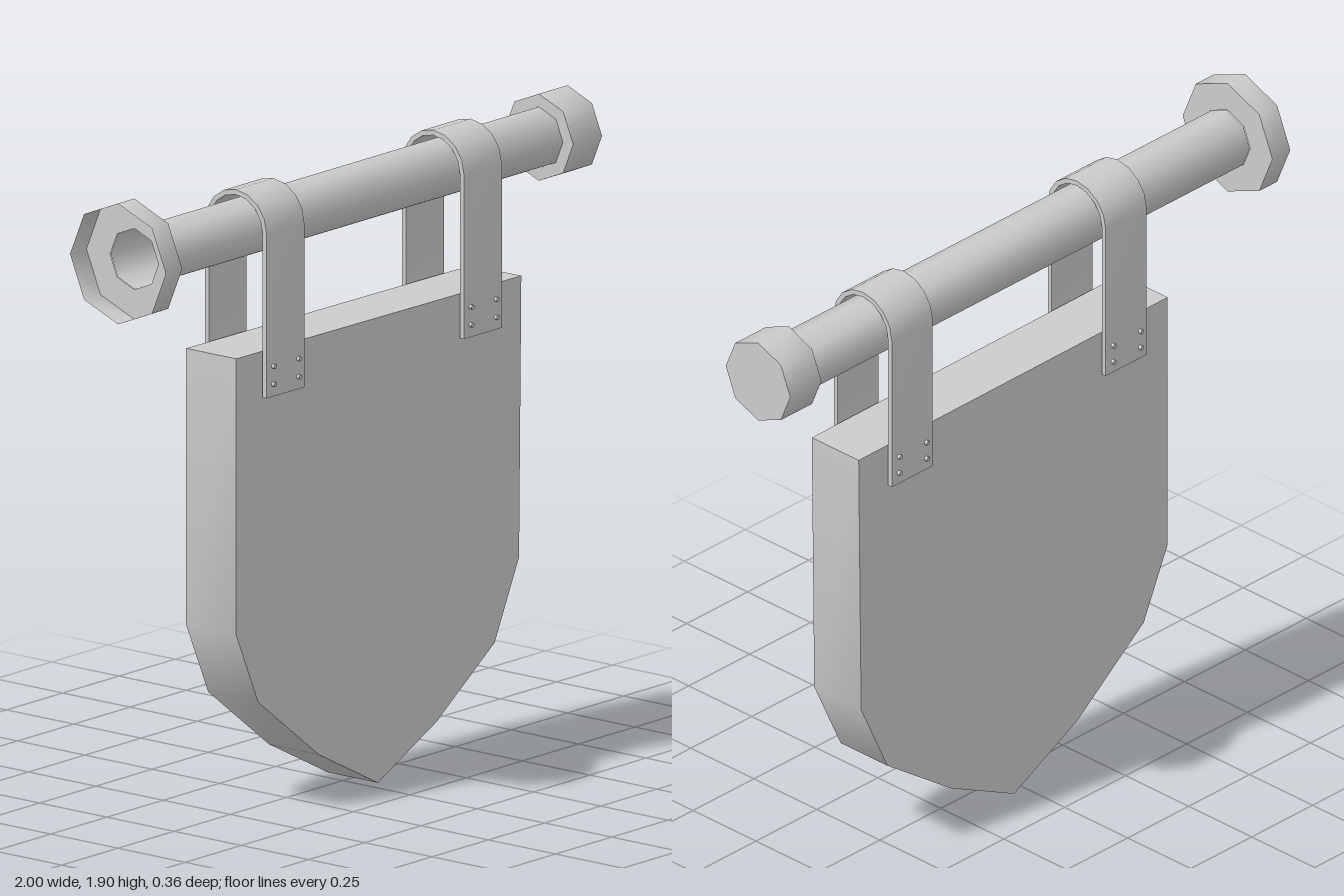
import * as THREE from 'three';
import { toCreasedNormals } from 'three/addons/utils/BufferGeometryUtils.js';

const POLE_Y = 1.722;
const material = new THREE.MeshStandardMaterial({ color: 0xcccccc, side: THREE.DoubleSide });

function addMesh(parent, name, geometry) {
  const mesh = new THREE.Mesh(geometry, material);
  mesh.name = name;
  parent.add(mesh);
  return mesh;
}

// Eight-sided turned part lying along x; profile holds [radius, x] pairs
function turned(parent, name, profile) {
  const lathe = new THREE.LatheGeometry(profile.map(([r, x]) => new THREE.Vector2(r, x)), 8);
  lathe.rotateZ(-Math.PI / 2);
  lathe.translate(0, POLE_Y, 0);
  return addMesh(parent, name, toCreasedNormals(lathe, 0.9));
}

// Outline extruded along its normal, centred on that axis
function slab(shape, depth) {
  const geometry = new THREE.ExtrudeGeometry(shape, { depth, bevelEnabled: false });
  return geometry.translate(0, 0, -depth / 2);
}

// Strap cross-section: an inverted U wrapped over the pole
function strapShape() {
  const bottom = 1.24;
  const outer = 0.115, inner = 0.1;
  const arc = (r, i) => {
    const a = (Math.PI * i) / 8;
    return new THREE.Vector2(r * Math.cos(a), POLE_Y + r * Math.sin(a));
  };
  const points = [new THREE.Vector2(outer, bottom)];
  for (let i = 0; i <= 8; i++) points.push(arc(outer, i));
  points.push(new THREE.Vector2(-outer, bottom), new THREE.Vector2(-inner, bottom));
  for (let i = 8; i >= 0; i--) points.push(arc(inner, i));
  points.push(new THREE.Vector2(inner, bottom));
  return new THREE.Shape(points);
}

export function createModel() {
  const model = new THREE.Group();
  model.name = 'hangingSign';

  // Pole with a hollow wall flange at one end and a solid cap at the other
  turned(model, 'pole', [[0.09, -0.925], [0.09, 0.875]]);
  turned(model, 'wallFlange', [[0.178, -1], [0.178, -0.927], [0.09, -0.927]]);
  turned(model, 'endCap', [[0.09, 0.872], [0.128, 0.872], [0.128, 1], [0, 1]]);

  // Shield-shaped board, slightly uneven
  const outline = [
    [-0.585, 1.375], [-0.585, 0.56], [-0.487, 0.343], [-0.217, 0.135], [0.045, 0],
    [0.305, 0.127], [0.565, 0.31], [0.673, 0.54], [0.683, 1.367],
  ].map(([x, y]) => new THREE.Vector2(x, y));
  addMesh(model, 'board', toCreasedNormals(slab(new THREE.Shape(outline), 0.186), 0.6));

  // Two straps, each riveted to the front and back of the board
  const strapGeometry = toCreasedNormals(slab(strapShape(), 0.168).rotateY(Math.PI / 2), 0.6);
  const rivetGeometry = new THREE.CylinderGeometry(0.007, 0.007, 0.02, 8).rotateX(Math.PI / 2);
  for (const [name, x] of [['rightStrap', -0.392], ['leftStrap', 0.486]]) {
    const group = new THREE.Group();
    group.name = name;
    group.position.x = x;
    addMesh(group, 'strap', strapGeometry);
    for (const side of [-1, 1])
      for (const dx of [-0.056, 0.056])
        for (const y of [1.277, 1.33])
          addMesh(group, 'rivet', rivetGeometry).position.set(dx, y, side * 0.115);
    model.add(group);
  }
  return model;
}
